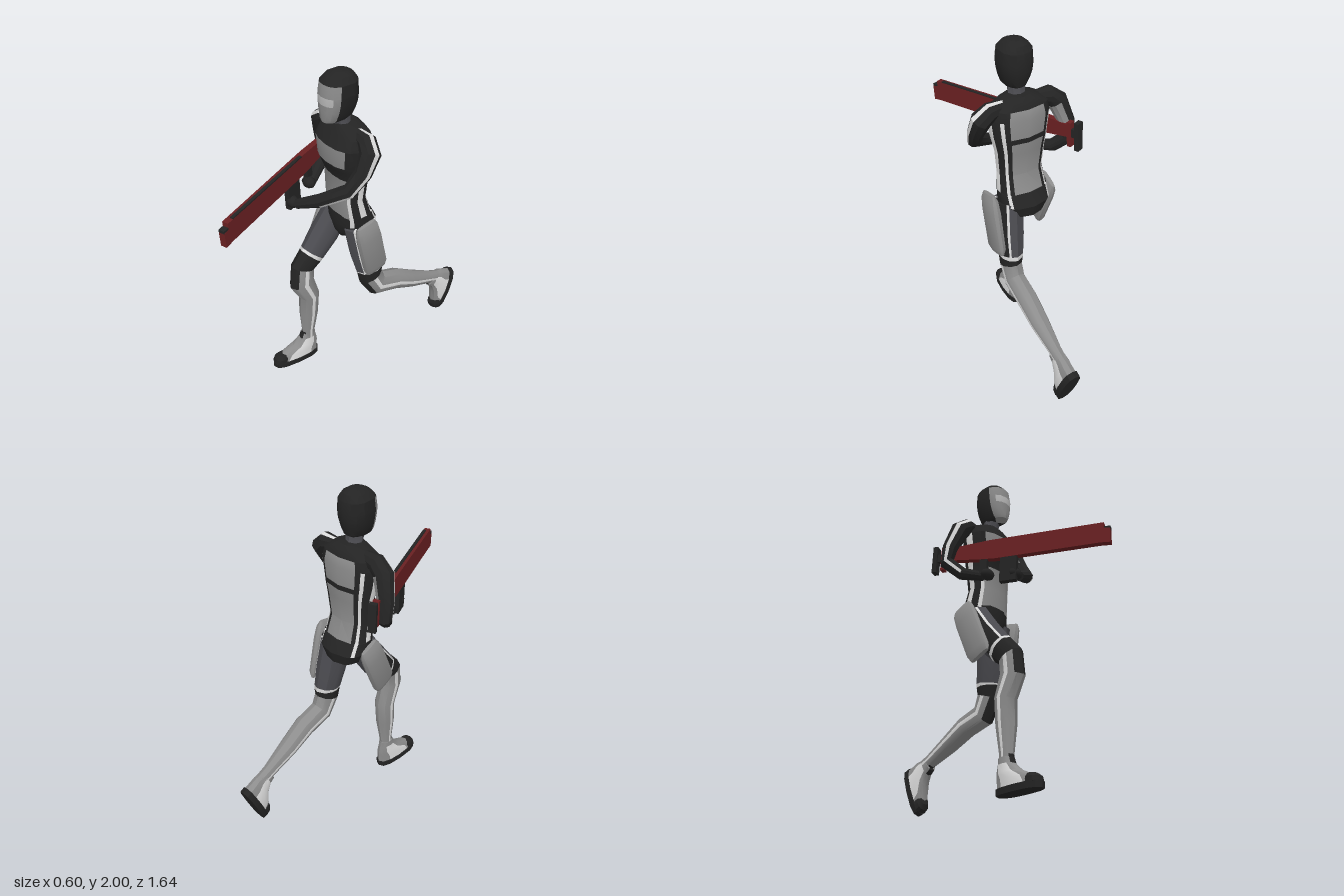
import * as THREE from 'three';
import { toCreasedNormals } from 'three/addons/utils/BufferGeometryUtils.js';

const COLORS = [['black', 0x242424], ['panelGray', 0x8c8c8c], ['stripeWhite', 0xdcdcdc],
  ['darkGray', 0x4b4b50], ['weaponRed', 0x6a2022], ['visorGray', 0xb8b8b8]];
const [BLACK, GRAY, WHITE, DARK, RED, VISOR] = [0, 1, 2, 3, 4, 5];
const rad = Math.PI / 180;

export function createModel() {
  const model = new THREE.Group();
  model.name = 'runningSoldier';
  const mats = COLORS.map(([name, color]) => {
    const m = new THREE.MeshStandardMaterial({ color });
    m.name = name;
    return m;
  });

  const add = (parent, name, geo, mat) => {
    const mesh = new THREE.Mesh(geo, mat === undefined ? mats : mats[mat]);
    mesh.name = name;
    parent.add(mesh);
    return mesh;
  };
  const box = (parent, name, mat, size, pos) => {
    const b = add(parent, name, new THREE.BoxGeometry(...size), mat);
    b.position.set(...pos);
    return b;
  };

  // Skin over rings [x, y, z, halfWidth, halfDepth]; angle 0 = +x, 90 = front.
  // paint(row, angle) picks the colour of each face; level keeps rings horizontal.
  function loft(rings, angles, paint, { level = true, power = 1 } = {}) {
    const centers = rings.map(r => new THREE.Vector3(r[0], r[1], r[2]));
    let side = new THREE.Vector3(1, 0, 0);
    const pw = v => Math.sign(v) * Math.abs(v) ** power;
    const pts = rings.map((r, i) => {
      const t = new THREE.Vector3(0, 1, 0);
      if (!level) t.subVectors(centers[Math.min(i + 1, rings.length - 1)], centers[Math.max(i - 1, 0)]).normalize();
      side = side.clone().addScaledVector(t, -side.dot(t)).normalize();
      const front = new THREE.Vector3().crossVectors(side, t);
      return angles.map(a => centers[i].clone()
        .addScaledVector(side, pw(Math.cos(a * rad)) * r[3])
        .addScaledVector(front, pw(Math.sin(a * rad)) * r[4]));
    });
    const buckets = mats.map(() => []);
    const tri = (m, ...vs) => vs.forEach(v => buckets[m].push(v.x, v.y, v.z));
    const n = angles.length, last = rings.length - 1;
    for (let j = 0; j < n; j++) {
      const k = (j + 1) % n;
      const mid = ((angles[j] + angles[k] + (k ? 0 : 360)) / 2 + 360) % 360;
      for (let i = 0; i < last; i++) {
        const m = paint(i, mid), a = pts[i][j], b = pts[i + 1][j], c = pts[i + 1][k], d = pts[i][k];
        tri(m, a, b, c);
        tri(m, a, c, d);
      }
      tri(paint(0, mid), centers[0], pts[0][j], pts[0][k]);
      tri(paint(last - 1, mid), centers[last], pts[last][k], pts[last][j]);
    }
    const geo = new THREE.BufferGeometry();
    geo.setAttribute('position', new THREE.Float32BufferAttribute(buckets.flat(), 3));
    let start = 0;
    buckets.forEach((b, m) => {
      if (b.length) geo.addGroup(start, b.length / 3, m);
      start += b.length / 3;
    });
    return toCreasedNormals(geo, 0.5);
  }

  // Angular distance from an angle to its mirrored front/back half: 0 = side, 90 = centre line
  const fold = a => Math.abs(Math.asin(Math.sin(a * rad))) / rad;
  const isFront = a => a < 180;
  const BODY = [-9, 9, 34, 46, 68, 90, 112, 134, 146, 171, 189, 214, 224, 236, 270, 304, 316, 326];

  // Torso with chest, belly and back panels
  const torso = [[1.13, .147, -.04, .1], [1.25, .135, -.015, .085], [1.39, .148, -.02, .092],
    [1.46, .16, -.01, .112], [1.49, .165, -.005, .118], [1.6, .18, -.005, .122],
    [1.655, .165, -.015, .1], [1.69, .115, -.015, .08], [1.71, .06, -.01, .06]].map(([y, w, z, d]) => [.02, y, z, w, d]);
  const chestPaint = (row, a) => {
    const f = fold(a);
    if (row >= 5) return row === 5 && !isFront(a) && f > 56 ? GRAY : BLACK;
    if (f < 9) return WHITE;
    if (isFront(a)) {
      if (f > 46) return row === 2 || row === 3 ? BLACK : GRAY;
      return f > 34 && row < 2 ? WHITE : BLACK;
    }
    if (f > 56) return row === 3 ? BLACK : GRAY;
    return f > 34 && f < 44 ? WHITE : BLACK;
  };
  add(model, 'torso', loft(torso, BODY, chestPaint, { power: .85 }));

  // Pelvis
  const pelvis = [[.95, .03, -.04, .06], [1.0, .11, -.06, .11], [1.07, .15, -.06, .125],
    [1.14, .15, -.042, .104]].map(([y, w, z, d]) => [.02, y, z, w, d]);
  add(model, 'pelvis', loft(pelvis, BODY,
    (row, a) => row > 1 && fold(a) > 34 && fold(a) < 46 ? WHITE : BLACK, { power: .9 }));

  // Neck and hooded head with face plate and visor
  const neck = [[.02, 1.66, 0, .075, .06], [.02, 1.71, .01, .05, .045], [.02, 1.77, .02, .05, .05]];
  add(model, 'neck', loft(neck, [0, 45, 90, 135, 180, 225, 270, 315], () => DARK));
  const head = [[1.738, .048, .055, .078], [1.755, .06, .045, .093], [1.8, .078, .038, .102], [1.84, .088, .034, .107],
    [1.885, .094, .033, .108], [1.95, .09, .03, .1], [1.983, .066, .025, .074], [2.0, .035, .022, .04]]
    .map(([y, w, z, d]) => [.02, y, z, w, d]);
  add(model, 'head', loft(head, [-20, 22, 45, 66, 90, 114, 135, 158, 200, 225, 247, 270, 293, 315], (row, a) => {
    if (!isFront(a) || fold(a) < 22 || row > 4) return BLACK;
    return row === 3 && fold(a) > 45 ? VISOR : GRAY;
  }, { power: .88 }));

  // Legs, ankle to hip; s is +1 for the left leg and -1 for the right
  const LEG = [-10, 10, 40, 50, 90, 130, 140, 170, 190, 225, 270, 300, 310, 335];
  const legPaint = s => (row, angle) => {
    const a = s > 0 ? angle : (540 - angle) % 360;
    if (row >= 7) {
      if ((a > 40 && a < 50) || (a > 300 && a < 310)) return WHITE;
      return a > 50 && a < 300 ? DARK : BLACK;
    }
    if (row === 6) return WHITE;
    if (row === 5) return BLACK;
    if (row === 4 && a > 40 && a < 140) return BLACK;
    if (row === 0 && a > 50 && a < 130) return BLACK;
    return fold(a) < 10 ? WHITE : GRAY;
  };
  const legs = {
    rightLeg: [-1, [[-.078, .13, .205, .036, .045], [-.075, .21, .205, .036, .042], [-.07, .37, .2, .055, .06],
      [-.067, .52, .195, .06, .064], [-.065, .645, .245, .056, .08], [-.065, .755, .235, .056, .08],
      [-.068, .815, .175, .064, .082], [-.069, .83, .16, .066, .084], [-.075, .93, .07, .078, .095],
      [-.07, 1.07, -.025, .08, .09]]],
    leftLeg: [1, [[.145, .345, -.68, .036, .045], [.145, .375, -.61, .038, .044], [.145, .45, -.45, .056, .056],
      [.145, .525, -.31, .062, .068], [.14, .565, -.165, .06, .078], [.137, .66, -.115, .062, .08],
      [.135, .72, -.11, .066, .088], [.134, .738, -.108, .068, .09], [.125, .87, -.08, .08, .1],
      [.11, 1.07, -.045, .08, .1]]],
  };
  for (const [name, [s, rings]] of Object.entries(legs)) {
    add(model, name, loft(rings, LEG, legPaint(s), { level: false }));
  }

  // Boots: sole, upper, toe cap
  const OVAL = [0, 30, 60, 90, 120, 150, 180, 210, 240, 270, 300, 330];
  function boot(name, pos, rx, ry) {
    const g = new THREE.Group();
    g.name = name;
    g.position.set(...pos);
    g.rotation.set(rx, ry, 0, 'YXZ');
    model.add(g);
    add(g, 'sole', loft([[0, 0, .1, .054, .158], [0, .035, .1, .055, .16]], OVAL, () => BLACK, { power: .75 }));
    add(g, 'upper', loft([[0, .035, .09, .05, .145], [0, .075, .075, .048, .13], [0, .115, .03, .044, .085],
      [0, .16, .01, .038, .054], [0, .195, .006, .036, .046]], OVAL,
    (row, a) => row < 3 && fold(a) < 30 ? WHITE : row === 3 && a > 60 && a < 120 ? BLACK : GRAY, { power: .85 }));
    add(g, 'toeCap', loft([[0, .03, .205, .045, .05], [0, .06, .202, .042, .045], [0, .08, .19, .028, .03]],
      OVAL, () => BLACK, { power: .85 }));
  }
  boot('rightBoot', [-.078, 0, .2], 0, -.1);
  boot('leftBoot', [.145, .294, -.8], 1.21, 0);

  // Arms, wrist to shoulder, with a stripe along the outer side
  const ARM = [-14, 14, 50, 90, 130, 166, 194, 230, 270, 310];
  const armPaint = s => (row, angle) => {
    const a = s > 0 ? angle : (540 - angle) % 360;
    if (a < 14 || a > 346) return row > 0 ? WHITE : BLACK;
    return row === 3 && a > 130 && a < 230 ? GRAY : BLACK;
  };
  const arms = {
    leftArm: [1, [[-.03, 1.255, .275, .028], [.1, 1.325, .215, .038], [.225, 1.415, .115, .042], [.25, 1.51, .045, .048],
      [.243, 1.605, -.005, .058], [.195, 1.65, -.02, .052], [.11, 1.66, -.02, .035]]],
    rightArm: [-1, [[-.14, 1.275, .1, .028], [-.215, 1.3, 0, .038], [-.267, 1.38, -.075, .043], [-.262, 1.47, -.06, .047],
      [-.215, 1.605, -.025, .058], [-.16, 1.65, -.02, .052], [-.08, 1.66, -.02, .035]]],
  };
  for (const [name, [s, rings]] of Object.entries(arms)) {
    add(model, name, loft(rings.map(r => [...r, r[3]]), ARM, armPaint(s), { level: false }));
  }
  for (const [name, pos] of [['leftHand', [-.07, 1.25, .28]], ['rightHand', [-.135, 1.28, .125]]]) {
    const hand = add(model, name, new THREE.SphereGeometry(.036, 8, 6), BLACK);
    hand.position.set(...pos);
    hand.scale.set(1.3, .95, 1);
  }

  // Thigh armour pads
  const pad = [[0, -.19, 0, .014, .066], [0, -.15, 0, .03, .08], [0, .08, 0, .034, .08], [0, .15, 0, .028, .075],
    [0, .185, 0, .012, .062]];
  for (const [name, pos, tilt] of [['leftThighPad', [.214, .945, -.055], .23], ['rightThighPad', [-.15, .955, .01], -.4]]) {
    const p = add(model, name, loft(pad, OVAL, () => GRAY, { power: .7 }));
    p.position.set(...pos);
    p.rotation.x = tilt;
  }

  // Rifle, local z along the barrel
  const rifle = new THREE.Group();
  rifle.name = 'rifle';
  rifle.position.set(-.2, 1.43, 0);
  rifle.rotation.set(.055, .372, 0, 'YXZ');
  model.add(rifle);
  const outline = [[-.13, .05], [.16, .065], [.84, .06], [.84, .025], [.875, .02], [.875, -.07], [.82, -.065],
    [.2, -.062], [.12, -.055], [-.13, -.025]];
  const body = new THREE.ExtrudeGeometry(new THREE.Shape(outline.map(p => new THREE.Vector2(...p))),
    { depth: .036, bevelEnabled: false });
  body.rotateY(-Math.PI / 2).translate(.018, 0, 0);
  add(rifle, 'rifleBody', body, RED);
  box(rifle, 'stockEnd', RED, [.036, .15, .025], [0, -.01, -.13]);
  box(rifle, 'stockLink', BLACK, [.025, .05, .03], [0, 0, -.155]);
  box(rifle, 'buttPlate', BLACK, [.045, .17, .028], [0, -.01, -.182]);
  box(rifle, 'topRail', BLACK, [.018, .008, .6], [.009, .063, .5]);
  box(rifle, 'muzzleCap', BLACK, [.034, .016, .035], [0, .026, .858]);
  box(rifle, 'foreGrip', BLACK, [.034, .16, .1], [0, -.135, .285]);
  box(rifle, 'triggerGrip', BLACK, [.03, .1, .045], [0, -.095, .13]);
  return model;
}
